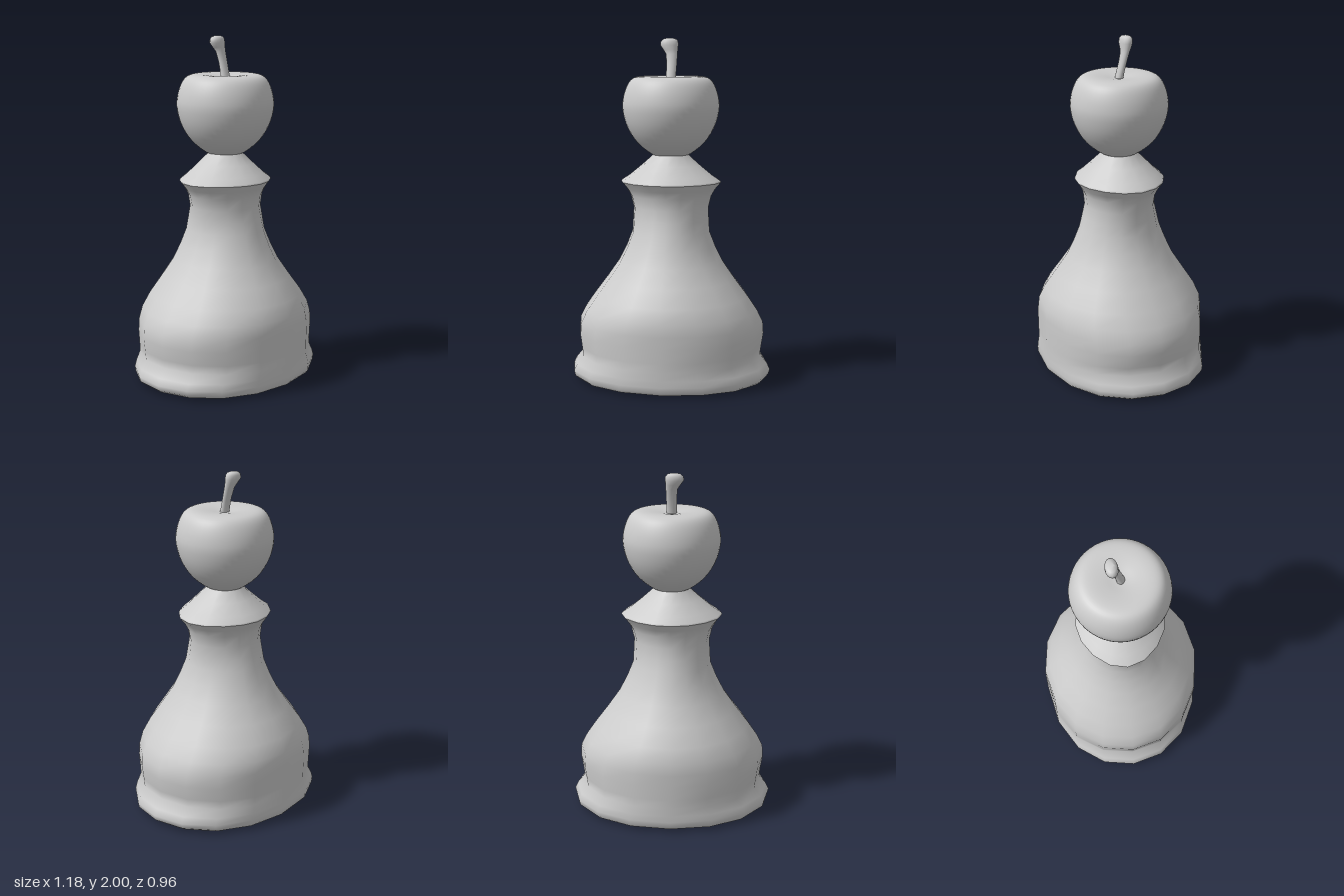
import * as THREE from 'three';

const material = new THREE.MeshStandardMaterial({ color: 0xcccccc });

// Skin a stack of elliptical rings [y, rx, rz, cx, cz], listed bottom to top.
// bulge widens (or pinches, if negative) the ellipse along its diagonals.
function loft(name, rings, bulge = () => 0, capped = false) {
  const sides = 16, positions = [], index = [];
  for (const [y, rx, rz, cx = 0, cz = 0] of rings) {
    for (let i = 0; i < sides; i++) {
      const a = (i / sides) * Math.PI * 2;
      const widen = 1 + bulge(y) * Math.cos(a) ** 2;
      positions.push(cx + Math.sin(a) * rx * widen, y, cz + Math.cos(a) * rz);
    }
  }
  for (let r = 0; r < rings.length - 1; r++) {
    for (let i = 0; i < sides; i++) {
      const a = r * sides + i, b = r * sides + ((i + 1) % sides);
      index.push(a, b, b + sides, a, b + sides, a + sides);
    }
  }
  if (capped) {
    const top = (rings.length - 1) * sides;
    for (let i = 1; i < sides - 1; i++) index.push(top, top + i, top + i + 1);
  }
  const geometry = new THREE.BufferGeometry();
  geometry.setAttribute('position', new THREE.Float32BufferAttribute(positions, 3));
  geometry.setIndex(index);
  geometry.computeVertexNormals();
  const mesh = new THREE.Mesh(geometry, material);
  mesh.name = name;
  return mesh;
}

export function createModel() {
  const group = new THREE.Group();
  group.name = 'applePawn';

  // Fuller diagonals at the foot, pinched ones at the collar
  const bulge = (y) => THREE.MathUtils.mapLinear(Math.min(y, 1.17), 0, 1.17, 0.075, -0.12);

  // Oval pedestal: waisted at the sides, straight at front and back
  group.add(loft('pedestal', [
    [0.006, 0.50, 0.42], [0.016, 0.56, 0.465], [0.032, 0.582, 0.478], [0.062, 0.59, 0.48],
    [0.10, 0.572, 0.48], [0.15, 0.53, 0.48], [0.20, 0.537, 0.48], [0.28, 0.55, 0.48],
    [0.35, 0.545, 0.48], [0.42, 0.51, 0.478], [0.50, 0.455, 0.445], [0.60, 0.38, 0.38],
    [0.70, 0.31, 0.315], [0.79, 0.264, 0.275], [0.88, 0.228, 0.24], [0.95, 0.224, 0.222],
    [1.02, 0.22, 0.205], [1.09, 0.237, 0.212], [1.13, 0.26, 0.232], [1.17, 0.294, 0.26],
  ], bulge));

  // Almost flat underside
  group.add(loft('underside', [[0, 0, 0], [0.006, 0.50, 0.42]], bulge));

  // Sharp-edged conical collar
  group.add(loft('collar', [
    [1.17, 0.294, 0.26], [1.18, 0.289, 0.257], [1.21, 0.243, 0.222],
    [1.27, 0.17, 0.162], [1.325, 0.108, 0.106], [1.35, 0.105, 0.104],
  ], bulge));

  // Apple with a shallow dimple under the stem
  const profile = new THREE.SplineCurve([
    [0, 1.315], [0.06, 1.315], [0.12, 1.338], [0.20, 1.405], [0.255, 1.495], [0.28, 1.59],
    [0.276, 1.66], [0.258, 1.72], [0.233, 1.76], [0.20, 1.779], [0.15, 1.783],
    [0.09, 1.777], [0.04, 1.768], [0, 1.764],
  ].map(([x, y]) => new THREE.Vector2(x, y)));
  const points = profile.getPoints(40);
  points.forEach((p) => { p.x = Math.max(p.x, 0); });
  const apple = new THREE.Mesh(new THREE.LatheGeometry(points, 48), material);
  apple.name = 'apple';
  group.add(apple);

  // Leaning stem with a wide knobbed tip
  group.add(loft('stem', [
    [1.75, 0.030, 0.025, 0, 0.004], [1.79, 0.029, 0.022, 0, -0.004],
    [1.85, 0.030, 0.021, 0.002, -0.019], [1.91, 0.034, 0.024, 0, -0.035],
    [1.935, 0.043, 0.030, -0.008, -0.042], [1.96, 0.053, 0.036, -0.016, -0.047],
    [1.982, 0.051, 0.034, -0.015, -0.049], [1.995, 0.038, 0.026, -0.014, -0.049],
    [2.0, 0.018, 0.013, -0.013, -0.049],
  ], undefined, true));

  return group;
}
